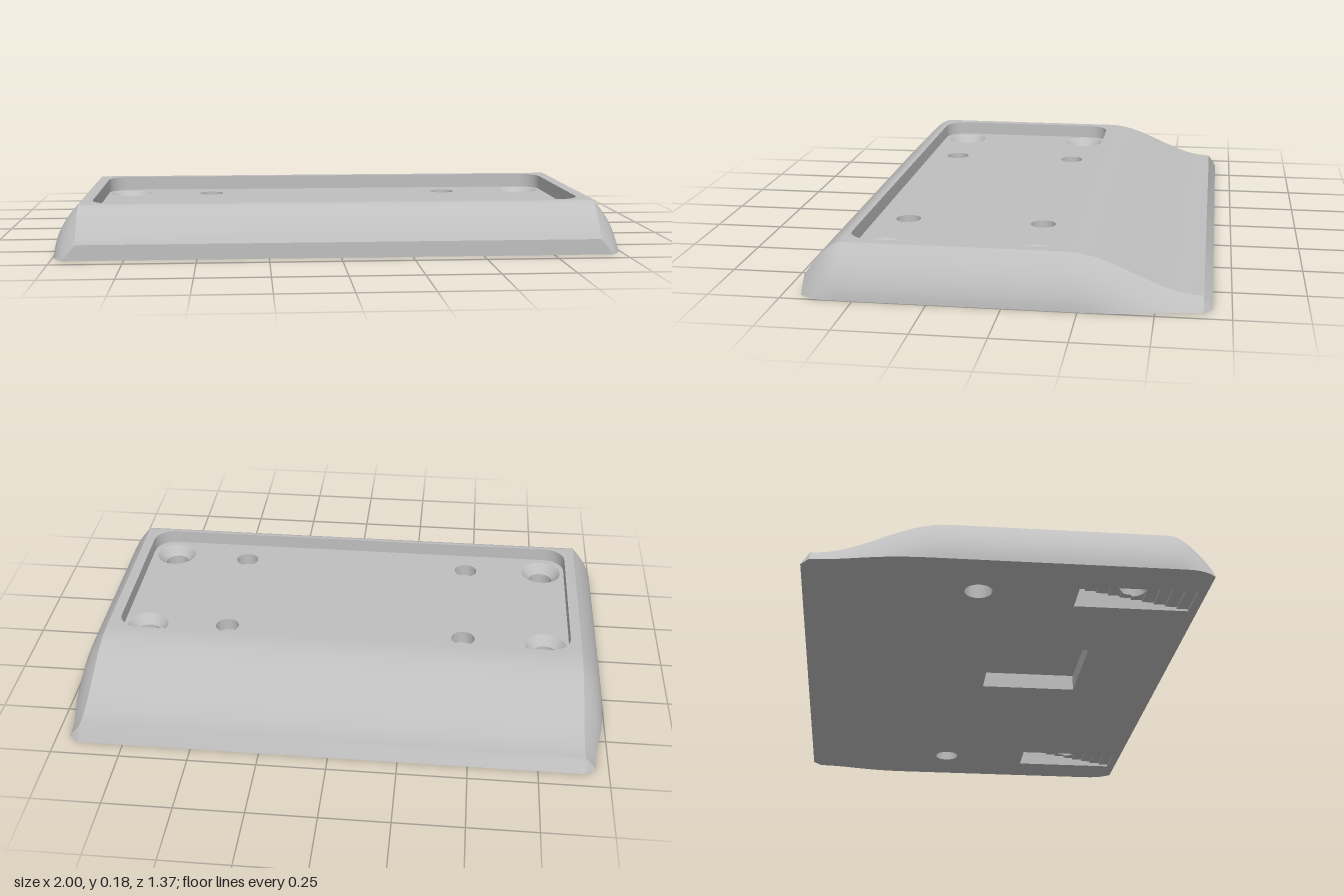
import * as THREE from 'three';
import { mergeGeometries, toCreasedNormals } from 'three/addons/utils/BufferGeometryUtils.js';

const TOP = 0.178, INNER = 0.915, END = 0.687, FLOOR = 0.125;
const HOLE_R = 0.048, SINK_R = 0.08;

// Surface through rows of [x, y, z] points
function loft(rows, closed = false) {
  const pos = [];
  for (let r = 0; r < rows.length - 1; r++) {
    const a = rows[r], b = rows[r + 1], n = a.length;
    for (let i = 0; i < (closed ? n : n - 1); i++) {
      const j = (i + 1) % n;
      pos.push(...a[i], ...b[i], ...b[j], ...a[i], ...b[j], ...a[j]);
    }
  }
  const g = new THREE.BufferGeometry();
  g.setAttribute('position', new THREE.Float32BufferAttribute(pos, 3));
  return g;
}

// Flat plate at height y from [x, z] outlines
function plate(outline, holes, y) {
  const v = (p) => p.map(([x, z]) => new THREE.Vector2(x, -z));
  const shape = new THREE.Shape(v(outline));
  holes.forEach((h) => shape.holes.push(new THREE.Path(v(h))));
  const g = new THREE.ShapeGeometry(shape).toNonIndexed().rotateX(-Math.PI / 2).translate(0, y, 0);
  g.deleteAttribute('uv');
  g.deleteAttribute('normal');
  return g;
}

const circle = (cx, cz, r, n = 32) => Array.from({ length: n }, (_, i) => {
  const a = (i / n) * Math.PI * 2;
  return [cx + r * Math.cos(a), cz + r * Math.sin(a)];
});

const rect = (x0, x1, z0, z1) => [[x0, z0], [x0, z1], [x1, z1], [x1, z0]];

function roundedRect(x0, x1, z0, z1, r) {
  const pts = [];
  [[x1 - r, z1 - r], [x0 + r, z1 - r], [x0 + r, z0 + r], [x1 - r, z0 + r]].forEach(([cx, cz], k) => {
    for (let i = 0; i <= 8; i++) {
      const a = (k + i / 8) * Math.PI / 2;
      pts.push([cx + r * Math.cos(a), cz + r * Math.sin(a)]);
    }
  });
  return pts;
}

const ring = (outline, y) => outline.map(([x, z]) => [x, typeof y === 'function' ? y(z) : y, z]);

export function createModel() {
  const group = new THREE.Group();
  const grey = new THREE.MeshStandardMaterial({ color: 0xbfbfbf, side: THREE.DoubleSide });
  grey.name = 'grey';
  const add = (name, ...geos) => {
    const mesh = new THREE.Mesh(toCreasedNormals(mergeGeometries(geos), 0.55), grey);
    mesh.name = name;
    group.add(mesh);
  };

  // Height profile [z, height] along the body, back to front
  const back = [[-END, 0]], front = [];
  for (let i = 0; i <= 16; i++) {
    const t = i / 16;
    back.push([-0.657 + 0.457 * t, 0.047 + (TOP - 0.047) * (1 - Math.cos(Math.PI * t)) / 2]);
  }
  const bend = new THREE.QuadraticBezierCurve(new THREE.Vector2(0.55, TOP),
    new THREE.Vector2(0.605, TOP), new THREE.Vector2(END, 0.055));
  bend.getPoints(12).forEach((p) => front.push([p.x, p.y]));
  const profile = [...back, ...front];

  // Side edge: one curve hung from the top line and cut off at the ground
  const edgeX = (drop) => INNER + 0.085 * (1 - (1 - drop / TOP) ** 2);
  const side = ([z, h], s) => {
    const pts = [];
    for (let i = 0; i <= 10; i++) {
      const drop = h * i / 10;
      pts.push([s * edgeX(drop), h - drop, z]);
    }
    return s < 0 ? pts.reverse() : pts;
  };
  const across = ([z, h]) => [[-INNER, h, z], [INNER, h, z]];
  const pocket = roundedRect(-0.875, 0.875, -0.19, 0.55 - 0.002, 0.08);
  const frontRow = profile[profile.length - 1];
  const frontSection = [...side(frontRow, -1), ...side(frontRow, 1)];

  add('body',
    loft(profile.map((p) => side(p, -1))),
    loft(profile.map((p) => side(p, 1))),
    loft(back.map(across)),
    loft(front.map(across)),
    plate(rect(-INNER, INNER, -0.2, 0.55), [pocket], TOP),
    loft([frontSection, frontSection.map(([x, , z]) => [x, 0, z])]));

  // Recessed tray with screw holes and shallow round sockets
  const screws = [[-0.785, -0.09], [0.78, -0.09], [-0.78, 0.445], [0.775, 0.445]];
  const sockets = [];
  for (const x of [-0.465, 0.465]) for (const z of [-0.07, 0.43]) sockets.push(circle(x, z, 0.045));
  add('tray',
    loft([ring(pocket, TOP), ring(pocket, FLOOR)], true),
    plate(pocket, [...screws.map(([x, z]) => circle(x, z, SINK_R)), ...sockets], FLOOR));
  sockets.forEach((s) => add('socket',
    loft([ring(s, FLOOR), ring(s, 0.075)], true), plate(s, [], 0.075)));

  // Stepped ramp height inside the underside slots
  const Z0 = 0.25, Z1 = 0.655, STEPS = 10;
  const stepHeight = (k) => 0.07 - 0.062 * k / (STEPS - 1);
  const rampY = (z) => stepHeight(Math.min(STEPS - 1, Math.floor((z - Z0) / (Z1 - Z0) * STEPS)));

  // Countersunk screw holes: the front pair ends in the slots
  screws.forEach(([x, z]) => {
    const bore = circle(x, z, HOLE_R);
    add('screwHole', loft([
      ring(circle(x, z, SINK_R), FLOOR),
      ring(bore, 0.088),
      ring(bore, z > 0 ? rampY : 0),
    ], true));
  });

  // Underside slots with stepped floors around the front holes
  const slots = [];
  screws.slice(2).forEach(([cx, cz]) => {
    const slot = rect(cx - 0.072, cx + 0.072, Z0, Z1);
    slots.push(slot);
    const rows = { left: [], right: [] };
    for (let k = 0; k < STEPS; k++) {
      for (let i = 0; i <= 8; i++) {
        const z = Z0 + (Z1 - Z0) * (k + i / 8) / STEPS, y = stepHeight(k);
        const half = Math.sqrt(Math.max(0, HOLE_R ** 2 - (z - cz) ** 2));
        rows.left.push([[cx - 0.072, y, z], [cx - half, y, z]]);
        rows.right.push([[cx + half, y, z], [cx + 0.072, y, z]]);
      }
    }
    // Walls follow the steps down to the underside
    const wall = (list, i) => loft([list.map((r) => r[i]), list.map((r) => [r[i][0], 0, r[i][2]])]);
    const endWall = (z, y) => loft([y, 0].map((h) => [[cx - 0.072, h, z], [cx + 0.072, h, z]]));
    add('steppedSlot', loft(rows.left), loft(rows.right), wall(rows.left, 0), wall(rows.right, 1),
      endWall(Z0, stepHeight(0)), endWall(Z1, stepHeight(STEPS - 1)));
  });

  // Square recess and flat underside
  const recess = rect(-0.365, 0, 0, 0.36);
  add('squareRecess', loft([ring(recess, 0), ring(recess, 0.06)], true), plate(recess, [], 0.06));
  const outline = [
    ...profile.map(([z, h]) => [edgeX(h), z]),
    ...profile.map(([z, h]) => [-edgeX(h), z]).reverse(),
  ];
  add('underside', plate(outline,
    [...screws.slice(0, 2).map(([x, z]) => circle(x, z, HOLE_R)), ...slots, recess], 0));

  return group;
}
